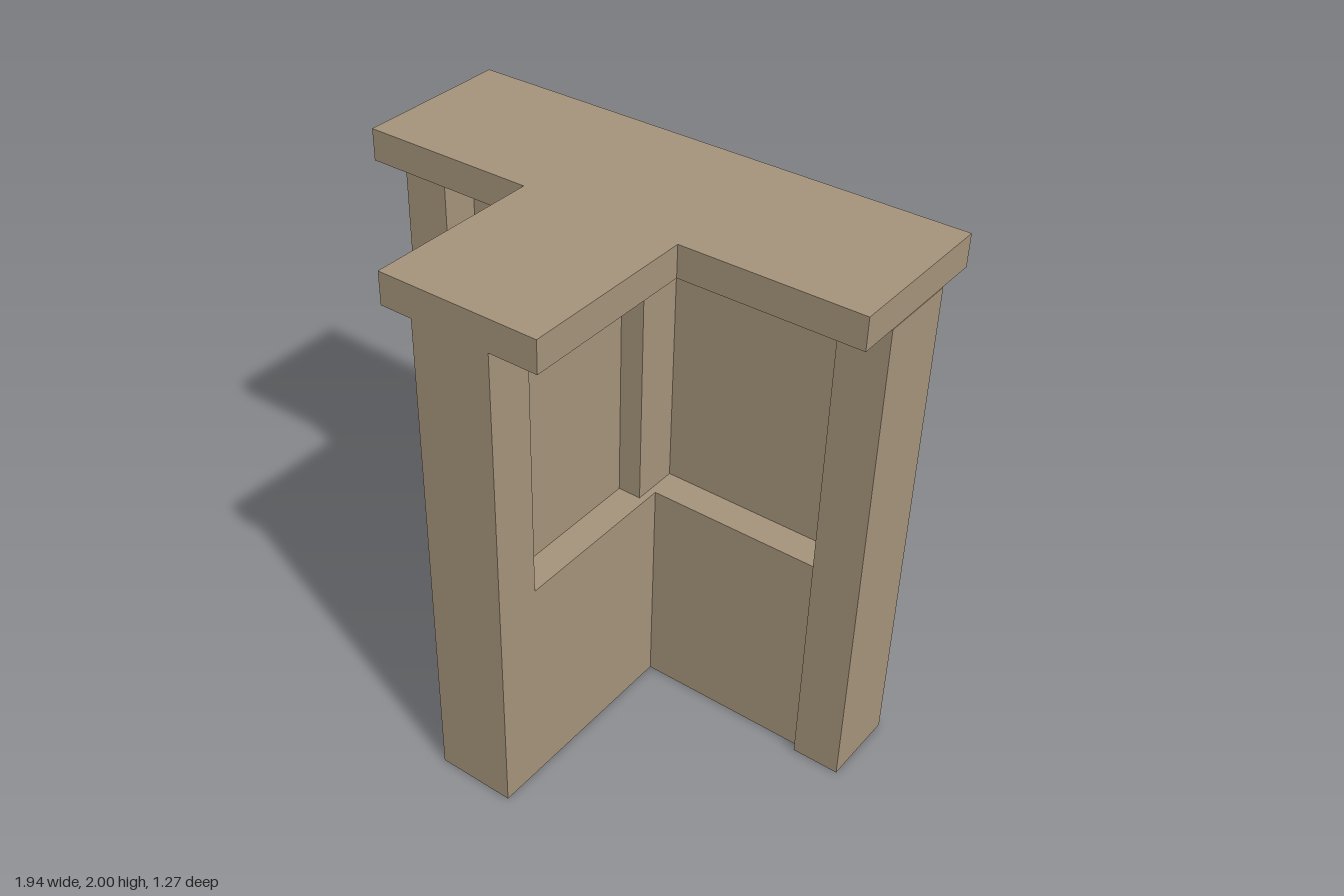
import * as THREE from 'three';

export function createModel() {
  const group = new THREE.Group();
  const stone = new THREE.MeshStandardMaterial({ color: 0xa6947b });
  stone.name = 'warm stone';

  const top = 1.882; // underside of the roof slab
  const sill = 0.853; // top of the low walls

  // Box given by its lower and upper limits on each axis
  function block(name, [x0, x1], [y0, y1], [z0, z1]) {
    const mesh = new THREE.Mesh(new THREE.BoxGeometry(x1 - x0, y1 - y0, z1 - z0), stone);
    mesh.position.set((x0 + x1) / 2, (y0 + y1) / 2, (z0 + z1) / 2);
    mesh.name = name;
    group.add(mesh);
  }

  // T-shaped roof slab
  const outline = [
    [-0.968, -0.637], [0.968, -0.637], [0.968, -0.032], [0.302, -0.032],
    [0.302, 0.637], [-0.302, 0.637], [-0.302, -0.032], [-0.968, -0.032],
  ].map(([x, z]) => new THREE.Vector2(x, z));
  const slabGeometry = new THREE.ExtrudeGeometry(new THREE.Shape(outline), { depth: 2 - top, bevelEnabled: false });
  slabGeometry.rotateX(Math.PI / 2);
  const slab = new THREE.Mesh(slabGeometry, stone);
  slab.position.y = 2;
  slab.name = 'roofSlab';
  group.add(slab);

  // Posts at the three ends and at the junction
  block('rightPost', [-0.972, -0.792], [0, top], [-0.485, -0.183]);
  block('leftPost', [0.79, 0.97], [0, top], [-0.485, -0.183]);
  block('frontPost', [-0.18, 0.12], [0, top], [0.46, 0.637]);
  block('junctionPost', [-0.03, 0.095], [0, top], [-0.515, -0.15]);

  // Low walls
  block('crossWall', [-0.792, 0.79], [0, sill], [-0.46, -0.21]);
  block('stemWall', [-0.13, 0.12], [0, sill], [-0.21, 0.46]);

  // Thin panels standing on the walls
  block('crossPanel', [-0.792, 0.79], [sill, top], [-0.34, -0.33]);
  block('stemPanel', [-0.005, 0.005], [sill, top], [-0.33, 0.46]);

  return group;
}
